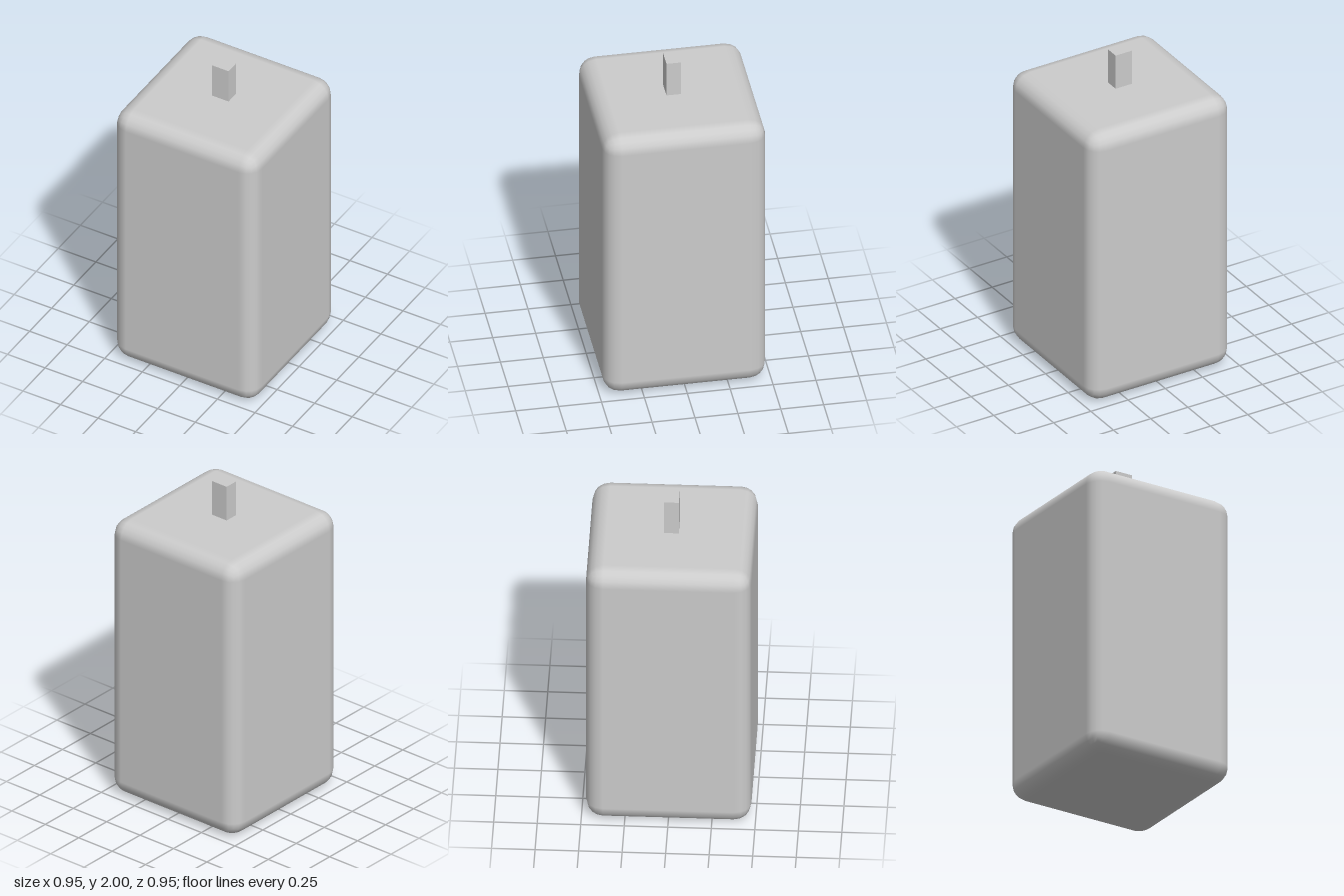
import * as THREE from 'three';
import { RoundedBoxGeometry } from 'three/addons/geometries/RoundedBoxGeometry.js';

const BODY_WIDTH = 0.95;
const BODY_HEIGHT = 1.78;
const TOTAL_HEIGHT = 2;

export function createModel() {
  const model = new THREE.Group();
  model.name = 'roundedBlockWithTab';
  const material = new THREE.MeshStandardMaterial({ color: 0xcccccc });

  const addPart = (name, geometry, y) => {
    const mesh = new THREE.Mesh(geometry, material);
    mesh.name = name;
    mesh.position.y = y;
    model.add(mesh);
  };

  // Tall body with softly rounded edges
  addPart('body', new RoundedBoxGeometry(BODY_WIDTH, BODY_HEIGHT, BODY_WIDTH, 2, 0.1), BODY_HEIGHT / 2);

  // Small sharp-edged tab standing on the top face
  const tabHeight = TOTAL_HEIGHT - BODY_HEIGHT;
  addPart('topTab', new THREE.BoxGeometry(0.11, tabHeight, 0.084), BODY_HEIGHT + tabHeight / 2);

  return model;
}
